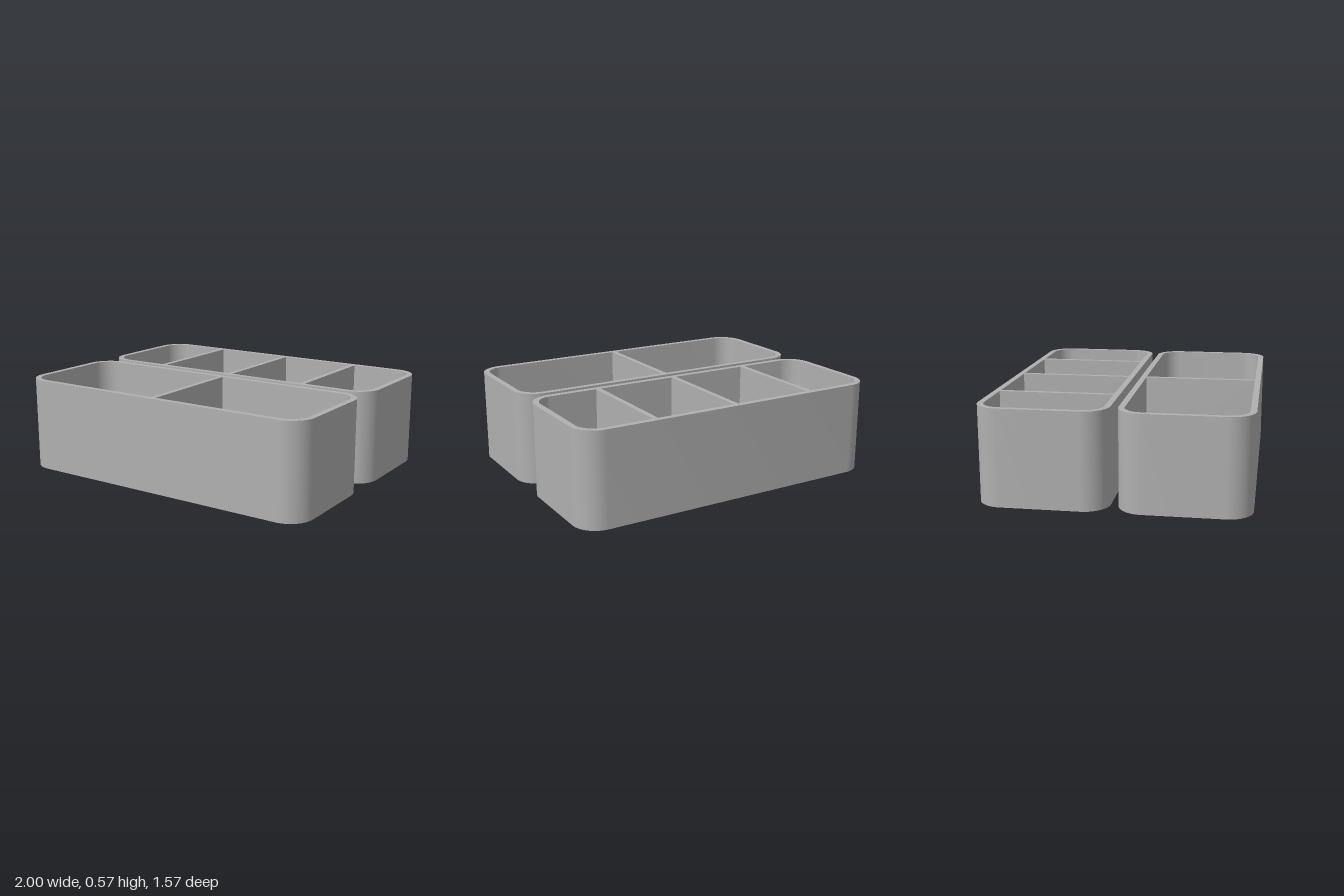
import * as THREE from 'three';
import { toCreasedNormals } from 'three/addons/utils/BufferGeometryUtils.js';

const HEIGHT = 0.575, WIDTH = 2, DEPTH = 0.765, RADIUS = 0.15, WALL = 0.036;
const RECESS = 0.035, FLOOR = 0.035, DIVIDER = 0.032;

// Rounded rectangle centred on the origin
function roundedRect(path, w, d, r) {
  const x = w / 2, y = d / 2;
  path.moveTo(-x + r, -y);
  path.lineTo(x - r, -y);
  path.absarc(x - r, -y + r, r, -Math.PI / 2, 0);
  path.lineTo(x, y - r);
  path.absarc(x - r, y - r, r, 0, Math.PI / 2);
  path.lineTo(-x + r, y);
  path.absarc(-x + r, y - r, r, Math.PI / 2, Math.PI);
  path.lineTo(-x, -y + r);
  path.absarc(-x + r, -y + r, r, Math.PI, Math.PI * 1.5);
  return path;
}

// Extrude a plan shape upwards from height y
function slab(shape, y, h) {
  const geo = new THREE.ExtrudeGeometry(shape, { depth: h, bevelEnabled: false, curveSegments: 16 });
  geo.rotateX(-Math.PI / 2).translate(0, y, 0);
  return toCreasedNormals(geo, 0.5);
}

function makeTray(name, z, dividerPositions, material) {
  const tray = new THREE.Group();
  tray.name = name;
  tray.position.z = z;
  const add = (partName, geo) => {
    const mesh = new THREE.Mesh(geo, material);
    mesh.name = partName;
    tray.add(mesh);
    return mesh;
  };
  const inW = WIDTH - 2 * WALL, inD = DEPTH - 2 * WALL, inR = RADIUS - WALL;

  // Outer wall, open above and below
  const ring = roundedRect(new THREE.Shape(), WIDTH, DEPTH, RADIUS);
  ring.holes.push(roundedRect(new THREE.Path(), inW, inD, inR));
  add('outerWall', slab(ring, 0, HEIGHT));

  // Floor, set up from the bottom edge
  add('floor', slab(roundedRect(new THREE.Shape(), inW, inD, inR), RECESS, FLOOR));

  // Compartment dividers, flush with the rim
  const base = RECESS + FLOOR;
  for (const x of dividerPositions) {
    add('divider', new THREE.BoxGeometry(DIVIDER, HEIGHT - base, inD))
      .position.set(x, (HEIGHT + base) / 2, 0);
  }

  // Rib across the recessed underside
  add('undersideRib', new THREE.BoxGeometry(DIVIDER, RECESS, inD)).position.y = RECESS / 2;
  return tray;
}

export function createModel() {
  const grey = new THREE.MeshStandardMaterial({ color: 0xb0b0b0 });
  grey.name = 'grey';
  const model = new THREE.Group();
  model.name = 'storageTrays';
  model.add(
    makeTray('twoCompartmentTray', 0.405, [0], grey),
    makeTray('fourCompartmentTray', -0.405, [-0.54, -0.003, 0.533], grey),
  );
  return model;
}
